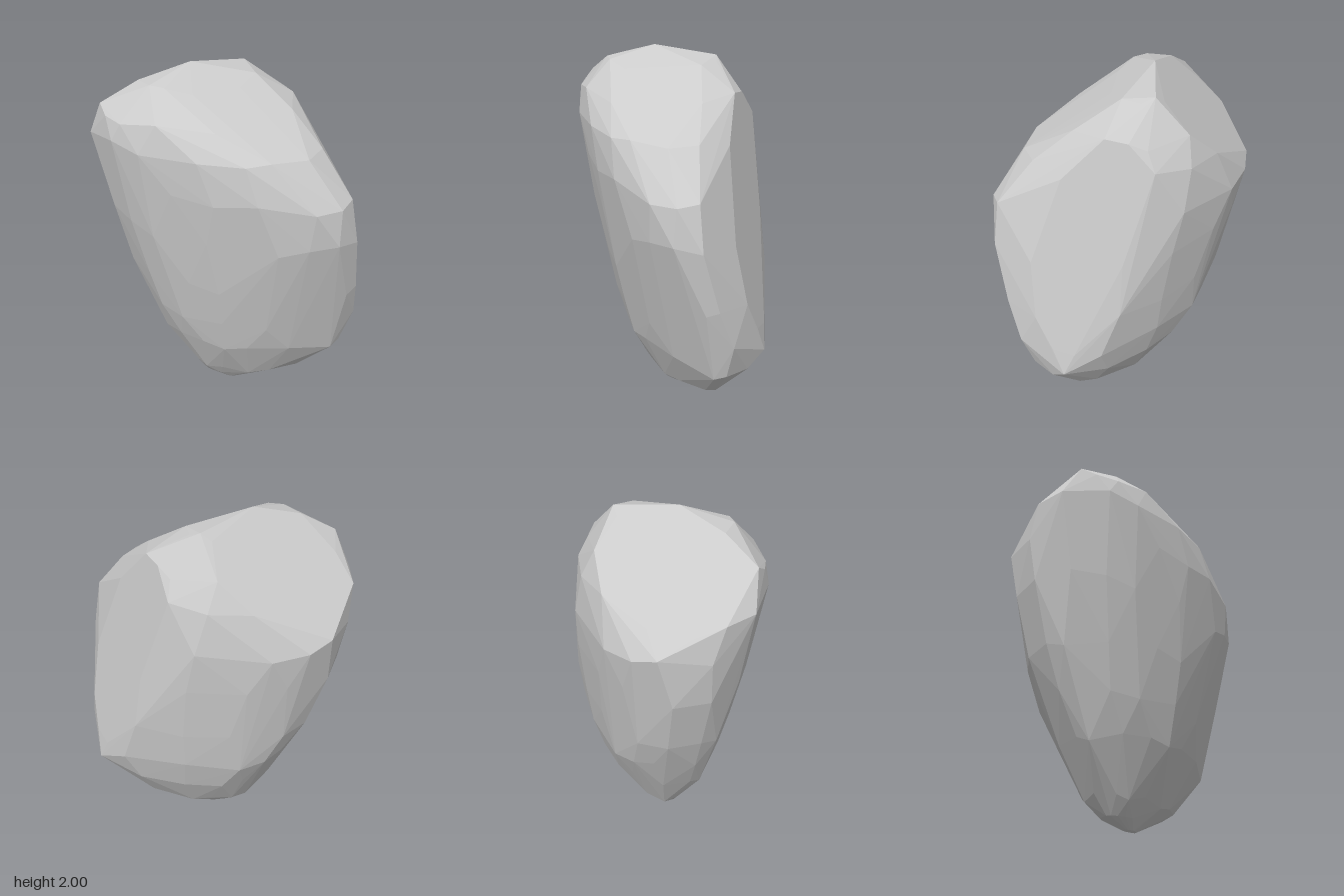
import * as THREE from 'three';
import { ConvexGeometry } from 'three/addons/geometries/ConvexGeometry.js';

// Outline of the boulder at each height:
// y, right end (x, z), left end (x, z), front (x, z), back (x, z)
const levels = [
  [0, -0.03, 0.04, 0.08, 0.02, 0.02, 0.06, 0.03, 0.01],
  [0.05, -0.16, 0.04, 0.2, 0, -0.03, 0.1, 0.06, -0.08],
  [0.15, -0.24, 0.03, 0.43, 0, 0, 0.16, 0.08, -0.19],
  [0.4, -0.39, 0.05, 0.67, 0, 0.05, 0.285, 0.1, -0.32],
  [0.62, -0.5, 0.03, 0.74, 0, 0.05, 0.335, 0.08, -0.385],
  [0.85, -0.59, 0.02, 0.745, 0.09, 0.05, 0.38, 0.08, -0.415],
  [1.18, -0.69, 0.02, 0.735, 0.18, 0, 0.425, 0.05, -0.45],
  [1.42, -0.725, 0, 0.69, 0.18, 0.05, 0.46, 0, -0.465],
  [1.64, -0.748, 0.04, 0.51, 0.1, -0.03, 0.46, -0.06, -0.435],
  [1.79, -0.65, 0.1, 0.33, 0, -0.25, 0.41, -0.1, -0.375],
  [1.93, -0.45, 0.08, 0.11, -0.1, -0.25, 0.27, -0.05, -0.24],
];

// Single corners that stand out: peak, upper right shoulder, lower left heel
const corners = [[-0.2, 2, 0.03], [-0.6, 1.79, 0.21], [0.63, 0.48, -0.25]];

// Flat faces: everything beyond normal . p = limit is shaved off
const cut = (x, y, z, limit) => {
  const plane = new THREE.Plane(new THREE.Vector3(x, y, z), -limit);
  return plane.normalize();
};
const cuts = [
  cut(1, 0.297, -1, 1.03), // broad back left side
  cut(-0.765, 1, -0.74, 2.13), // crown, sloping to the back right
  cut(0.44, 1, 0.41, 1.94), // crown, sloping to the front left
];

const STEPS = 4; // corners per quarter outline

// Quarter of a rounded outline from an end to the front or back,
// with inner corners shifted for irregular facets; low fullness is boxier
function quarter(y, level, endX, endZ, sideX, sideZ, fullness) {
  return Array.from({ length: STEPS + 1 }, (_, k) => {
    const inner = k > 0 && k < STEPS && y > 0.1;
    const wave = inner ? Math.sin(level * 2.4 + k * 1.7 + sideZ * 9) : 0;
    const a = ((k + 0.25 * wave) / STEPS) * Math.PI / 2;
    const c = Math.max(Math.cos(a), 0) ** fullness;
    const s = Math.sin(a) ** fullness;
    return new THREE.Vector3(sideX + (endX - sideX) * c, y + 0.03 * wave, endZ + (sideZ - endZ) * s);
  });
}

export function createModel() {
  const group = new THREE.Group();
  group.name = 'rock';

  const outline = levels.flatMap(([y, rx, rz, lx, lz, fx, fz, bx, bz], level) => [
    ...quarter(y, level, rx, rz, fx, fz, y < 1.5 ? 1.05 : 0.9),
    ...quarter(y, level, lx, lz, fx, fz, y < 1 ? 1.35 : 0.9),
    ...quarter(y, level, rx, rz, bx, bz, 0.85),
    ...quarter(y, level, lx, lz, bx, bz, 0.78),
  ]);
  for (const plane of cuts) {
    for (const p of outline) {
      const excess = plane.distanceToPoint(p);
      if (excess > 0) p.addScaledVector(plane.normal, -excess);
    }
  }

  // Faceted convex skin stretched over the outlines and corners
  const points = [...outline, ...corners.map((c) => new THREE.Vector3(...c))];
  const boulder = new THREE.Mesh(
    new ConvexGeometry(points),
    new THREE.MeshStandardMaterial({ color: 0xcccccc, flatShading: true }),
  );
  boulder.name = 'boulder';
  group.add(boulder);
  return group;
}
